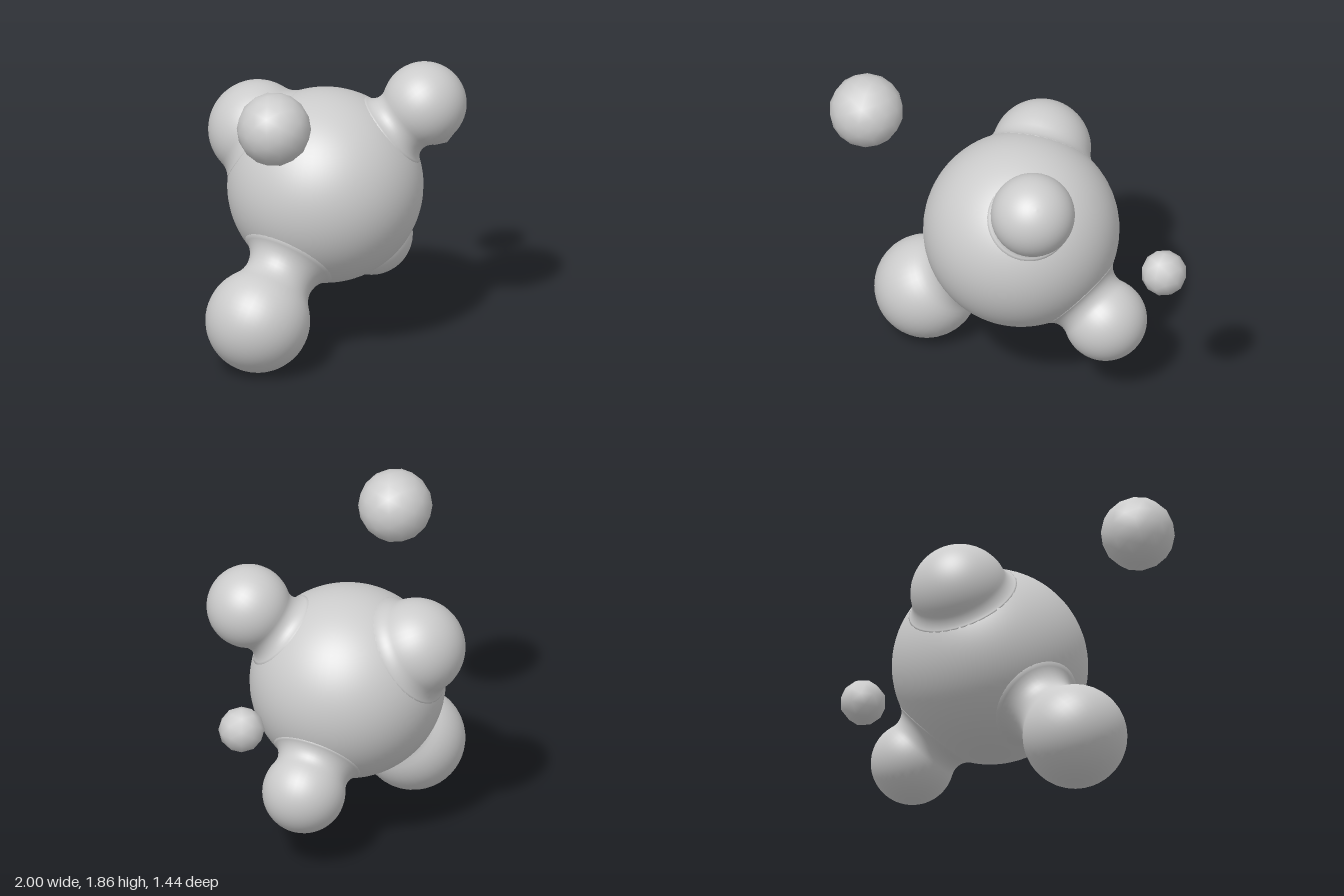
import * as THREE from 'three';

const CORE = new THREE.Vector3(-0.08, 0.96, -0.105);
const CORE_R = 0.573;

// Profile from the core's skin through a tangent concave neck and around a ball
function lobeProfile(dist, r, fillet) {
  const a = CORE_R + fillet, b = r + fillet;
  const cy = (dist * dist + a * a - b * b) / (2 * dist);
  const cx = Math.sqrt(a * a - cy * cy); // centre of the neck arc
  const points = [];
  const start = Math.atan2(-cy, -cx) + 2 * Math.PI; // towards the core
  let end = Math.atan2(dist - cy, -cx);             // towards the ball
  if (end < 0) end += 2 * Math.PI;
  points.push(new THREE.Vector2(cx * CORE_R / a * 0.98, cy * CORE_R / a * 0.98));
  for (let i = 0; i <= 10; i++) {
    const t = start + (end - start) * i / 10;
    points.push(new THREE.Vector2(cx + fillet * Math.cos(t), cy + fillet * Math.sin(t)));
  }
  const from = Math.atan2(cy - dist, cx);
  for (let i = 1; i <= 20; i++) {
    const t = from + (Math.PI / 2 - from) * i / 20;
    points.push(new THREE.Vector2(Math.max(0, r * Math.cos(t)), dist + r * Math.sin(t)));
  }
  return points;
}

export function createModel() {
  const group = new THREE.Group();
  const material = new THREE.MeshStandardMaterial({ color: 0xcccccc, roughness: 0.8 });

  const add = (name, geometry, position) => {
    const mesh = new THREE.Mesh(geometry, material);
    mesh.name = name;
    mesh.position.copy(position);
    group.add(mesh);
    return mesh;
  };

  // Large central blob
  add('core', new THREE.SphereGeometry(CORE_R, 64, 48), CORE);

  // Lobes merging into the core: name, centre, radius, neck fillet
  const lobes = [
    ['upperLeftLobe', [0.428, 1.463, 0.173], 0.246, 0.085],
    ['lowerRightLobe', [-0.682, 0.312, 0.145], 0.306, 0.15],
    ['lowerLeftLobe', [0.388, 0.473, -0.375], 0.243, 0.1],
    ['upperRightLobe', [-0.343, 1.25, -0.435], 0.29, 0.12],
  ];
  const up = new THREE.Vector3(0, 1, 0);
  for (const [name, centre, r, fillet] of lobes) {
    const axis = new THREE.Vector3(...centre).sub(CORE);
    const geometry = new THREE.LatheGeometry(lobeProfile(axis.length(), r, fillet), 40);
    add(name, geometry, CORE).quaternion.setFromUnitVectors(up, axis.normalize());
  }

  // Detached droplets
  add('largeDroplet', new THREE.IcosahedronGeometry(0.217, 2), new THREE.Vector3(-0.783, 1.65, 0.505));
  add('smallDroplet', new THREE.IcosahedronGeometry(0.135, 1), new THREE.Vector3(0.865, 1.045, -0.455));

  return group;
}
